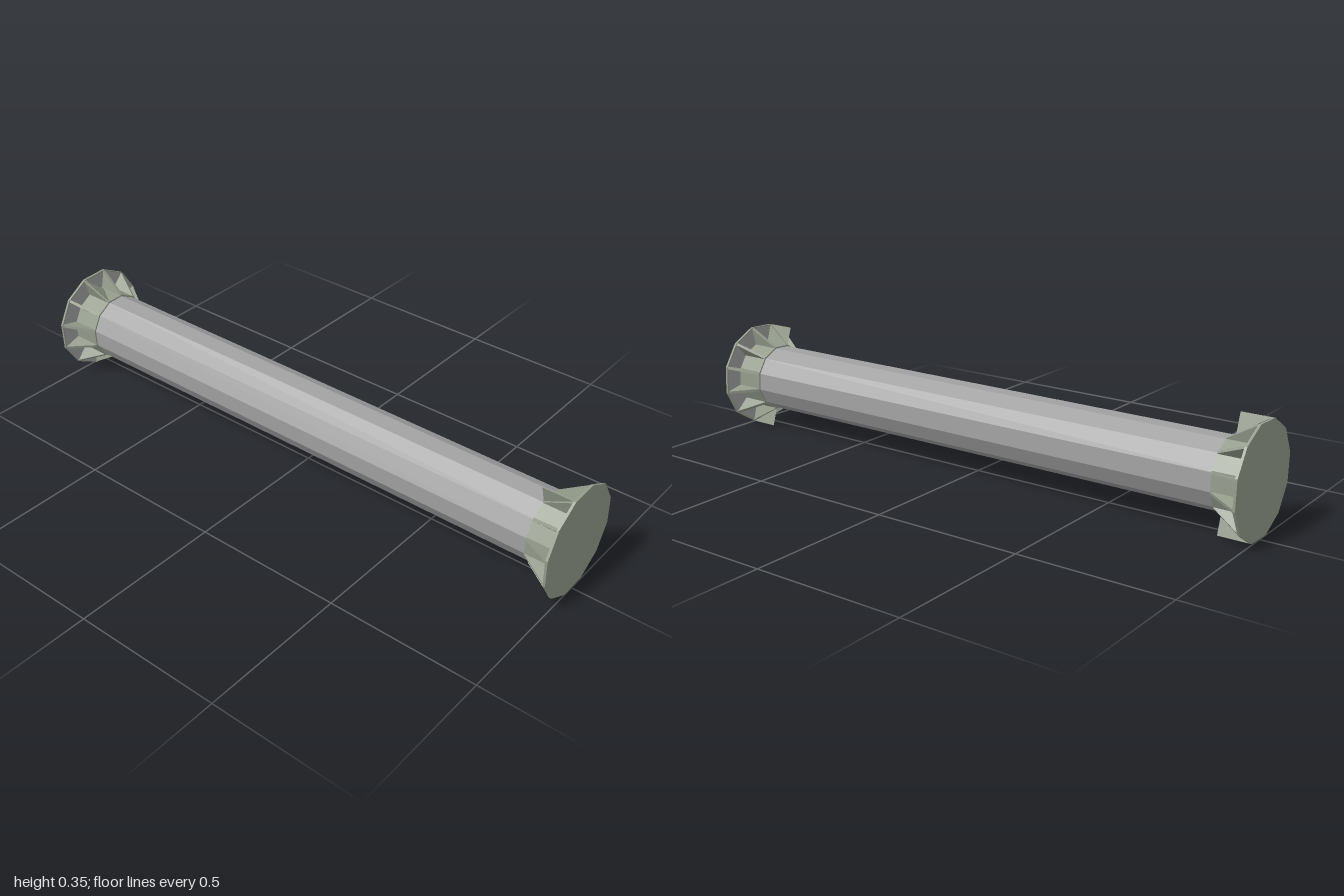
import * as THREE from 'three';

const SIDES = 12;
const STEP = (Math.PI * 2) / SIDES;
const TURN = THREE.MathUtils.degToRad(17.3); // angle of the first corner
const CENTRE_Y = 0.178;
const PIPE_R = 0.113, COLLAR_R = 0.118, FLANGE_R = 0.1815;
const Z_IN = 0.893, Z_PLATE = 0.992, Z_OUT = 1;

const metal = (name, color) => new THREE.MeshStandardMaterial({ name, color, flatShading: true });

// Twelve-sided prism along z, from z0 to z1
function prism(radius, z0, z1, turn, open = false) {
  const g = new THREE.CylinderGeometry(radius, radius, z1 - z0, SIDES, 1, open, turn);
  return g.rotateX(Math.PI / 2).translate(0, 0, (z0 + z1) / 2);
}

// Triangular gusset in the radius/z plane
function gussetGeometry() {
  const shape = new THREE.Shape([
    new THREE.Vector2(COLLAR_R - 0.01, Z_IN),
    new THREE.Vector2(COLLAR_R, Z_IN),
    new THREE.Vector2(FLANGE_R - 0.003, Z_PLATE),
    new THREE.Vector2(COLLAR_R - 0.01, Z_PLATE),
  ]);
  const depth = 0.01;
  return new THREE.ExtrudeGeometry(shape, { depth, bevelEnabled: false })
    .translate(0, 0, -depth / 2).rotateX(Math.PI / 2);
}

// One-sided outer triangle that squares off a gusset; dir picks the visible side
function webGeometry(dir) {
  const shape = new THREE.Shape([
    new THREE.Vector2(COLLAR_R, -dir * Z_IN),
    new THREE.Vector2(FLANGE_R, -dir * Z_IN),
    new THREE.Vector2(FLANGE_R, -dir * Z_PLATE),
  ]);
  return new THREE.ShapeGeometry(shape).rotateX(-dir * Math.PI / 2);
}

export function createModel() {
  const model = new THREE.Group();
  const pipeGrey = metal('pipeGrey', 0xa2a2a2);
  const flangeGreen = metal('flangeGreen', 0x949c8c);

  const add = (parent, name, geometry, material, angle = 0) => {
    const mesh = new THREE.Mesh(geometry, material);
    mesh.name = name;
    mesh.rotation.z = angle;
    parent.add(mesh);
    return mesh;
  };

  const body = new THREE.Group();
  body.name = 'flangedPipe';
  body.position.y = CENTRE_Y;
  model.add(body);

  add(body, 'pipe', prism(PIPE_R, -Z_PLATE, Z_PLATE, TURN, true), pipeGrey);

  const gusset = gussetGeometry();
  for (const end of [1, -1]) {
    const flange = new THREE.Group();
    flange.name = end > 0 ? 'frontFlange' : 'backFlange';
    if (end < 0) flange.rotation.y = Math.PI;
    body.add(flange);

    // Turning the end around mirrors x, so angles are mirrored to match
    const local = (a) => (end > 0 ? a : Math.PI - a);

    add(flange, 'endPlate', prism(FLANGE_R, Z_PLATE, Z_OUT, local(TURN)), flangeGreen);
    add(flange, 'collar', prism(COLLAR_R, Z_IN, Z_PLATE, local(TURN)), flangeGreen);

    // Grey lining on the inner side of the plate
    const lining = new THREE.RingGeometry(COLLAR_R - 0.005, FLANGE_R - 0.004, SIDES, 1, local(TURN));
    lining.rotateY(Math.PI).scale(1, 1, 1).translate(0, 0, Z_PLATE - 0.001);
    // The turned ring is mirrored in x, so spin it back onto the corners
    add(flange, 'plateLining', lining, pipeGrey, 2 * local(TURN));

    for (let i = 0; i < SIDES; i++) {
      add(flange, 'gusset', gusset, flangeGreen, local(TURN + i * STEP));
    }

    // Squared gussets at top (two-sided) and bottom (seen from +x)
    const top = local(TURN + 3 * STEP), bottom = local(TURN - 3 * STEP);
    add(flange, 'topWeb', webGeometry(1), flangeGreen, top);
    add(flange, 'topWeb', webGeometry(-1), flangeGreen, top);
    add(flange, 'bottomWeb', webGeometry(end), flangeGreen, bottom);
  }
  return model;
}
